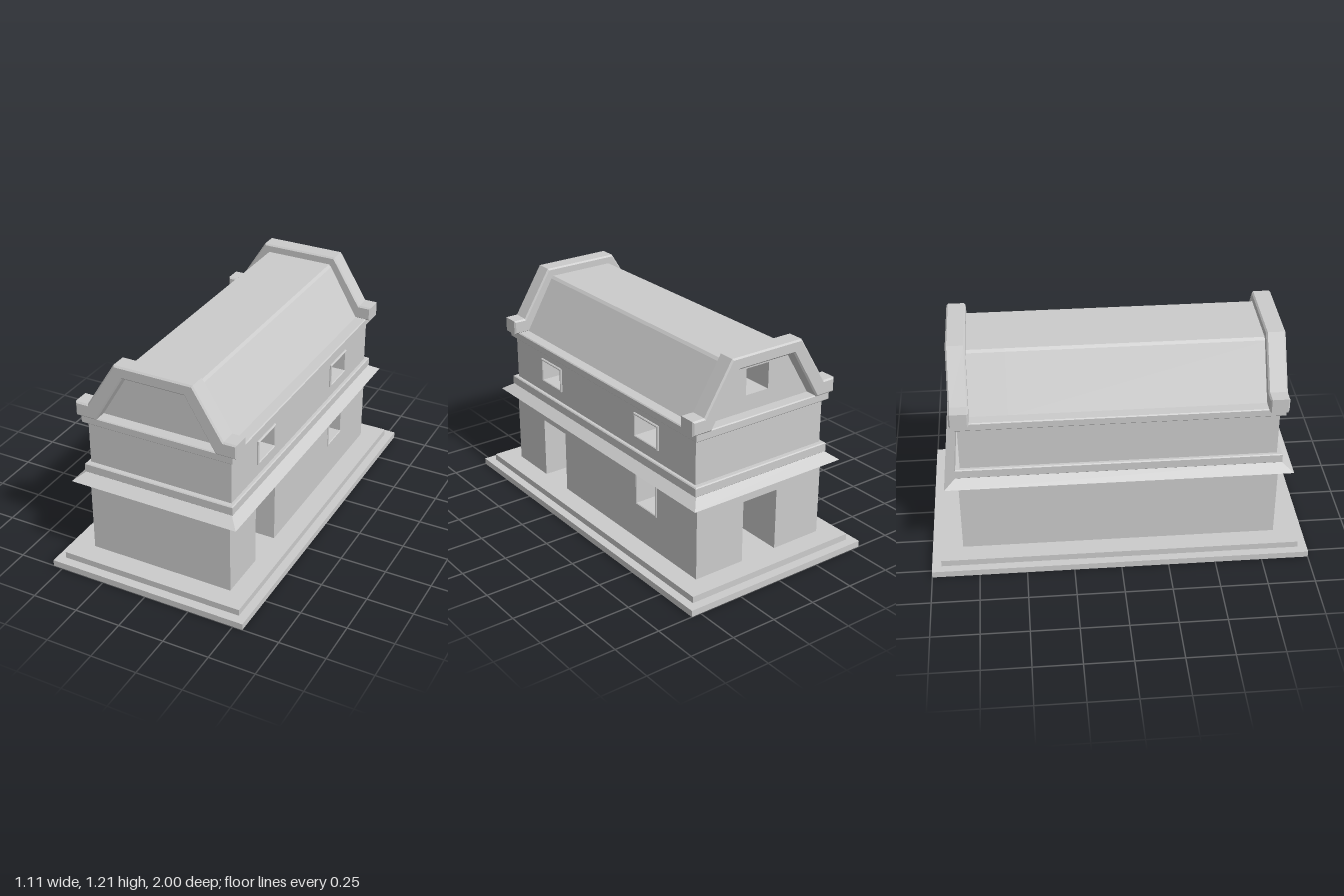
import * as THREE from 'three';

const grey = new THREE.MeshStandardMaterial({ color: 0xcccccc, flatShading: true });

function polygon(points) {
  return new THREE.Shape(points.map(([x, y]) => new THREE.Vector2(x, y)));
}

function rect(x0, x1, y0, y1) {
  return polygon([[x0, y0], [x1, y0], [x1, y1], [x0, y1]]);
}

// Extrude from z0 to z1 with an optional inward chamfer
function extrude(shape, z0, z1, bevel = 0, holes = []) {
  shape.holes.push(...holes);
  const geo = new THREE.ExtrudeGeometry(shape, {
    depth: z1 - z0 - 2 * bevel, bevelEnabled: bevel > 0, bevelSize: bevel,
    bevelThickness: bevel, bevelOffset: -bevel, bevelSegments: 1,
  });
  return geo.translate(0, 0, z0 + bevel);
}

// Horizontal slab, optionally chamfered or with an opening
function slab(halfX, halfZ, y0, y1, bevel = 0, holes = []) {
  return extrude(rect(-halfX, halfX, -halfZ, halfZ), y0, y1, bevel, holes).rotateX(-Math.PI / 2);
}

function box(x0, x1, y0, y1, z0, z1) {
  return new THREE.BoxGeometry(x1 - x0, y1 - y0, z1 - z0)
    .translate((x0 + x1) / 2, (y0 + y1) / 2, (z0 + z1) / 2);
}

export function createModel() {
  const model = new THREE.Group();
  const add = (name, geometry) => {
    const mesh = new THREE.Mesh(geometry, grey);
    mesh.name = name;
    model.add(mesh);
  };
  const toSide = (geo) => geo.rotateY(Math.PI / 2); // faces +x, local x runs to -z
  const toBack = (geo) => geo.rotateY(Math.PI); // faces -z, local x runs to -x

  // Stepped plinth, hollow underneath: thin rims and treads
  const ring = (hx, hz, w) => [rect(w - hx, hx - w, w - hz, hz - w)];
  add('plinthRim', slab(0.553, 1, 0, 0.035, 0, ring(0.553, 1, 0.004)));
  add('plinthTread', slab(0.552, 0.999, 0.031, 0.035, 0, ring(0.508, 0.95, 0.004)));
  add('stepRim', slab(0.508, 0.95, 0.031, 0.07, 0, ring(0.508, 0.95, 0.004)));
  add('stepTread', slab(0.507, 0.949, 0.066, 0.07));

  // Openings: [x0, x1, y0, y1] in the plane of their wall
  const sideDoor = [-0.558, -0.34, 0.07, 0.41];
  const sideWindow = [0.338, 0.498, 0.282, 0.443];
  const upperWindows = [[-0.538, -0.367, 0.667, 0.778], [0.332, 0.513, 0.667, 0.778]];
  const backDoor = [-0.108, 0.108, 0.07, 0.41];
  const gableWindow = [-0.07, 0.07, 0.96, 1.1];

  // Two storeys: a side block with deep openings along a solid block
  const inner = 0.15;
  const storeys = [
    { name: 'lower', y0: 0.068, y1: 0.54, z: 0.835, side: [sideDoor, sideWindow] },
    { name: 'upper', y0: 0.585, y1: 0.835, z: 0.82, side: upperWindows },
  ];
  for (const { name, y0, y1, z, side } of storeys) {
    const back = name === 'lower' ? -0.48 : -z; // the back door block completes the lower storey
    add(name + 'Walls', box(-0.4, inner, y0, y1, back, z));
    add(name + 'SideWall', toSide(extrude(rect(-z, z, y0, y1), inner, 0.4, 0, side.map((o) => rect(...o)))));
  }
  add('backDoorWall', toBack(extrude(rect(-inner, 0.4, 0.068, 0.54), 0.48, 0.835, 0, [rect(...backDoor)])));

  // Chamfered window surrounds
  const t = 0.012;
  for (const [x0, x1, y0, y1] of [sideWindow, ...upperWindows]) {
    const front = y0 > 0.5 ? 0.41 : 0.406;
    const outer = rect(x0 - t, x1 + t, y0 - t, y1 + t);
    add('windowFrame', toSide(extrude(outer, 0.39, front, 0.004, [rect(x0, x1, y0, y1)])));
  }

  // Sloping canopy skirt: a slab whose upper edge is drawn in
  const skirt = new THREE.BoxGeometry(0.934, 0.04, 1.81).translate(0, 0.52, 0);
  const pos = skirt.attributes.position;
  for (let i = 0; i < pos.count; i++) {
    if (pos.getY(i) > 0.52) {
      pos.setX(i, Math.sign(pos.getX(i)) * 0.415);
      pos.setZ(i, Math.sign(pos.getZ(i)) * 0.845);
    }
  }
  skirt.computeVertexNormals();
  add('canopySkirt', skirt);

  // Belt course and cornice
  add('beltCourse', slab(0.42, 0.848, 0.537, 0.59, 0.005));
  add('cornice', slab(0.42, 0.848, 0.83, 0.875, 0.005));

  // Roof body with eased ridges, and the back gable with its window
  const profile = () => polygon([
    [-0.362, 0.87], [0.362, 0.87], [0.198, 1.15], [0.185, 1.163], [-0.185, 1.163], [-0.198, 1.15],
  ]);
  add('roof', extrude(profile(), -0.56, 0.785));
  add('backGable', toBack(extrude(profile(), 0.56, 0.785, 0, [rect(...gableWindow)])));

  // Raised parapets with shoulder blocks at both ends
  const half = [[0.332, 0.87], [0.446, 0.87], [0.446, 0.948], [0.376, 0.948], [0.215, 1.207]];
  const mirrored = half.map(([x, y]) => [-x, y]).reverse();
  const outline = [...half, ...mirrored, [-0.169, 1.143], [0.169, 1.143]];
  const parapet = () => extrude(polygon(outline), 0.757, 0.857, 0.008);
  add('frontParapet', parapet());
  add('backParapet', toBack(parapet()));

  return model;
}
